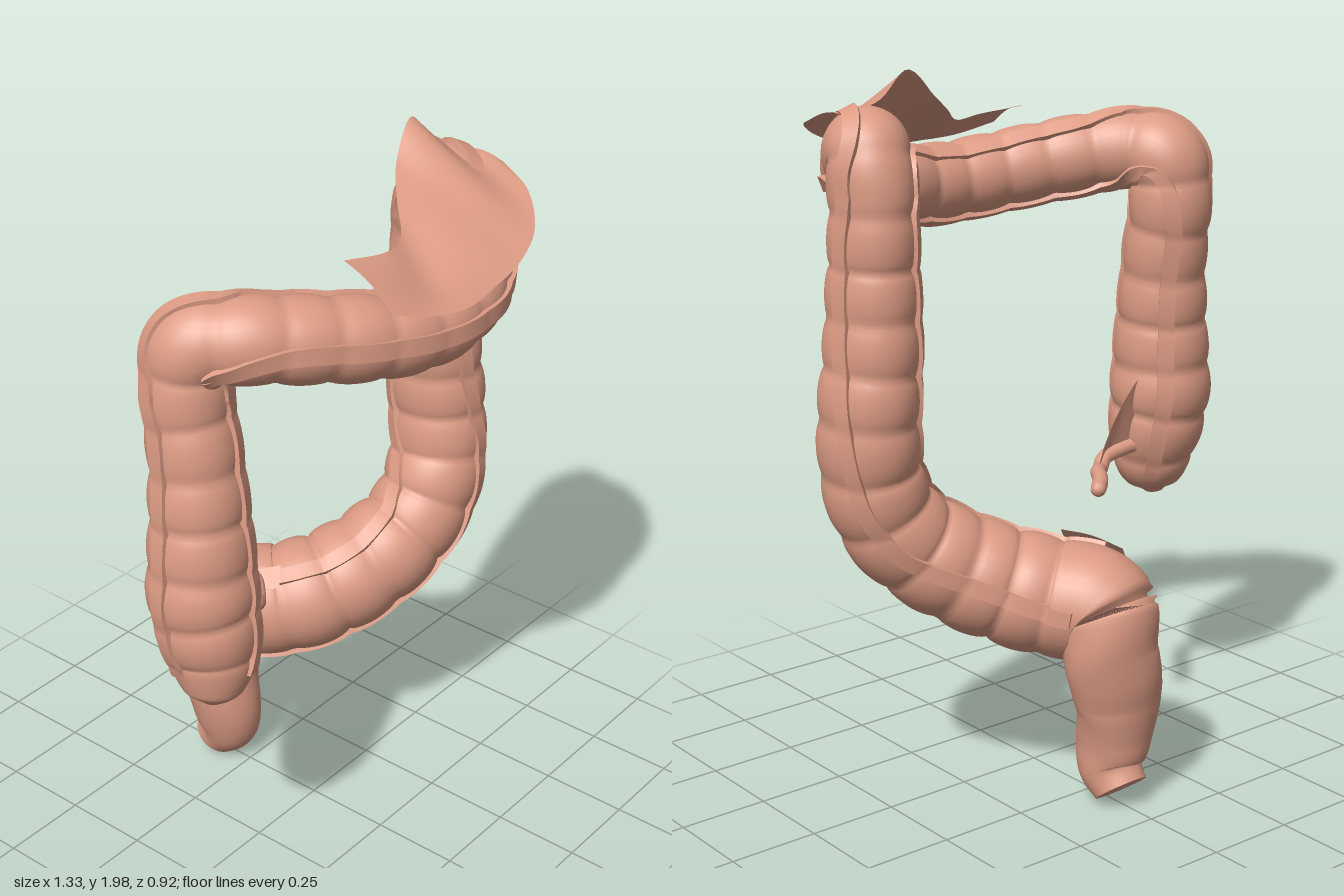
import * as THREE from 'three';
import { toCreasedNormals } from 'three/addons/utils/BufferGeometryUtils.js';

const V = (x, y, z) => new THREE.Vector3(x, y, z);
const { smoothstep } = THREE.MathUtils;

// Centre line of the bowel: x, y, z, radius
const PATH = [
  [-0.53, 0.695, 0.09, 0.03], [-0.525, 0.735, 0.09, 0.08], [-0.508, 0.83, 0.075, 0.12],
  [-0.512, 1.0, 0.05, 0.14], [-0.505, 1.2, 0.04, 0.128], [-0.495, 1.4, 0.02, 0.115],
  [-0.49, 1.57, -0.005, 0.112], [-0.475, 1.69, 0.012, 0.112], [-0.41, 1.71, 0.11, 0.109],
  [-0.28, 1.69, 0.205, 0.108], [-0.12, 1.66, 0.285, 0.107], [0.05, 1.64, 0.325, 0.106],
  [0.22, 1.65, 0.31, 0.107], [0.36, 1.69, 0.24, 0.107], [0.46, 1.76, 0.13, 0.105],
  [0.51, 1.80, 0.03, 0.107], [0.52, 1.69, 0.005, 0.114], [0.52, 1.5, 0.01, 0.121],
  [0.525, 1.3, 0.012, 0.13], [0.535, 1.1, 0.02, 0.138], [0.515, 0.94, 0.035, 0.138],
  [0.45, 0.80, 0.025, 0.138], [0.34, 0.70, -0.015, 0.147], [0.2, 0.62, -0.095, 0.155],
  [0.09, 0.58, -0.19, 0.158], [0.015, 0.56, -0.295, 0.156], [0.018, 0.43, -0.355, 0.135],
  [-0.01, 0.31, -0.35, 0.127], [-0.01, 0.2, -0.332, 0.106], [0, 0.115, -0.333, 0.09],
  [0, 0.06, -0.375, 0.074],
];
const STEPS = 420;
const LOBE = 0.135;

// Share of the full radius kept in the outward direction, for the oval stretches
const flatness = t => 1
  - 0.12 * (smoothstep(t, 0.5, 0.54) - smoothstep(t, 0.64, 0.7))
  - 0.26 * (smoothstep(t, 0.835, 0.875) - smoothstep(t, 0.89, 0.95));

// Samples with an outward-facing frame, radius and length travelled
function sampleFrames() {
  const curve = new THREE.CatmullRomCurve3(PATH.map(p => V(p[0], p[1], p[2])));
  const radii = new THREE.SplineCurve(PATH.map((p, i) => new THREE.Vector2(i, p[3])));
  const frames = [];
  let length = 0;
  for (let i = 0; i <= STEPS; i++) {
    const t = i / STEPS;
    const p = curve.getPoint(t);
    const tangent = curve.getTangent(t);
    const out = p.clone().sub(V(0, Math.min(1.2, 2 * p.y), 0.1));
    out.addScaledVector(tangent, -out.dot(tangent)).normalize();
    const side = tangent.clone().cross(out);
    out.multiplyScalar(flatness(t));
    if (i) length += p.distanceTo(frames[i - 1].p);
    frames.push({ p, out, side, length, t, r: radii.getPoint(t).y });
  }
  return frames;
}

// Joins a closed section, given as [angle, radius] pairs, along the frames
function sweep(frames, section) {
  const pos = [], index = [];
  let m = 0;
  const add = (f, [a, r]) => {
    const v = f.p.clone().addScaledVector(f.out, Math.cos(a) * r).addScaledVector(f.side, Math.sin(a) * r);
    pos.push(v.x, v.y, v.z);
  };
  frames.forEach((f, i) => {
    const ring = section(f);
    m = ring.length;
    ring.forEach(q => add(f, q));
    if (!i) return;
    for (let j = 0; j < m; j++) {
      const a = (i - 1) * m + j, b = (i - 1) * m + (j + 1) % m;
      index.push(a, b, a + m, b, b + m, a + m);
    }
  });
  // flat end caps on their own vertices
  [frames[0], frames[frames.length - 1]].forEach((f, end) => {
    const base = pos.length / 3;
    section(f).forEach(q => add(f, q));
    for (let j = 1; j < m - 1; j++) {
      index.push(base, base + (end ? j : j + 1), base + (end ? j + 1 : j));
    }
  });
  const g = new THREE.BufferGeometry();
  g.setAttribute('position', new THREE.Float32BufferAttribute(pos, 3));
  g.setIndex(index);
  g.computeVertexNormals();
  return g;
}

// Thin sheet between two edge curves; sag lowers its middle
function sheet(edgeA, edgeB, nu, nv, sag) {
  const a = new THREE.CatmullRomCurve3(edgeA.map(p => V(...p)));
  const b = new THREE.CatmullRomCurve3(edgeB.map(p => V(...p)));
  const g = new THREE.PlaneGeometry(1, 1, nu, nv);
  const pos = g.attributes.position;
  for (let i = 0; i < pos.count; i++) {
    const u = pos.getX(i) + 0.5, v = 0.5 - pos.getY(i);
    const q = a.getPoint(u).lerp(b.getPoint(u), v);
    q.y -= sag * Math.sin(Math.PI * v) * Math.sin(u * 12 - 1.5);
    pos.setXYZ(i, q.x, q.y, q.z);
  }
  g.computeVertexNormals();
  return g;
}

export function createModel() {
  const model = new THREE.Group();
  const flesh = new THREE.MeshStandardMaterial({ color: 0xdc9b84, side: THREE.DoubleSide });
  flesh.name = 'flesh pink';
  const add = (name, geometry) => {
    const mesh = new THREE.Mesh(geometry, flesh);
    mesh.name = name;
    model.add(mesh);
    return mesh;
  };
  const frames = sampleFrames();

  // Pouched wall, smoothing out towards the lower end
  const pouch = f => {
    const fade = 1 - smoothstep(f.t, 0.78, 0.84);
    const wave = Math.sqrt(Math.abs(Math.sin(Math.PI * f.length / LOBE)));
    return f.r * (1 + fade * (0.11 * wave - 0.07));
  };
  add('bowelWall', sweep(frames, f => {
    const r = pouch(f);
    return Array.from({ length: 36 }, (_, j) => [j / 36 * Math.PI * 2, r]);
  }));

  // Three raised lengthwise bands, which turn about the wall on the upper and lower runs
  const twist = t => -1.1 * smoothstep(t, 0.2, 0.3) + 1.1 * smoothstep(t, 0.43, 0.52) - 1.2 * smoothstep(t, 0.57, 0.77);
  const bandFrames = frames.filter(f => f.t > 0.05 && f.t < 0.825);
  [['outerBand', 0], ['frontBand', 2.1], ['backBand', -2.1]].forEach(([name, angle]) => {
    const g = sweep(bandFrames, f => {
      const a = angle + twist(f.t);
      const w = 0.024 / f.r;
      const top = 0.5 * (f.r + pouch(f)) + 0.012;
      return [[a - w, f.r * 0.93], [a - w * 0.85, top], [a + w * 0.85, top], [a + w, f.r * 0.93]];
    });
    add(name, toCreasedNormals(g, 0.7));
  });

  // Appendix with a rounded tip
  const appendixPoints = [[-0.42, 0.87, 0.03], [-0.36, 0.865, 0.035], [-0.29, 0.85, 0.035], [-0.25, 0.828, 0.01],
    [-0.20, 0.84, -0.04], [-0.165, 0.835, -0.09], [-0.13, 0.825, -0.122]];
  const appendixCurve = new THREE.CatmullRomCurve3(appendixPoints.map(p => V(...p)));
  add('appendix', new THREE.TubeGeometry(appendixCurve, 48, 0.022, 12));
  add('appendixTip', new THREE.SphereGeometry(0.022, 12, 8)).position.set(-0.13, 0.825, -0.122);

  // Web between the appendix and the wall
  add('appendixWeb', sheet(
    [[-0.41, 1.09, 0.0], [-0.37, 1.06, 0.0], [-0.31, 0.97, 0.01], [-0.275, 0.90, 0.015], [-0.20, 0.85, -0.04]],
    [[-0.42, 0.87, 0.03], [-0.37, 0.865, 0.035], [-0.29, 0.85, 0.035], [-0.25, 0.828, 0.01], [-0.20, 0.84, -0.04]],
    20, 4, 0));

  // Apron draped over the upper bowel
  add('apron', sheet(
    [[-0.13, 1.845, 0.20], [0.0, 1.83, 0.23], [0.10, 1.825, 0.20], [0.20, 1.87, 0.11],
      [0.30, 1.92, 0.03], [0.42, 2.0, -0.015], [0.50, 1.93, -0.01], [0.56, 1.89, 0.06]],
    [[-0.18, 1.775, 0.40], [-0.07, 1.745, 0.435], [0.03, 1.735, 0.46], [0.16, 1.735, 0.445],
      [0.30, 1.755, 0.43], [0.42, 1.79, 0.39], [0.53, 1.84, 0.29], [0.58, 1.87, 0.18]],
    40, 10, 0.014));

  // Small loose fold where the bands end
  add('bandFold', sheet(
    [[-0.09, 0.70, -0.27], [-0.04, 0.73, -0.20], [0.02, 0.745, -0.14]],
    [[-0.12, 0.66, -0.25], [-0.08, 0.69, -0.18], [-0.02, 0.70, -0.11]],
    10, 2, 0));

  return model;
}
